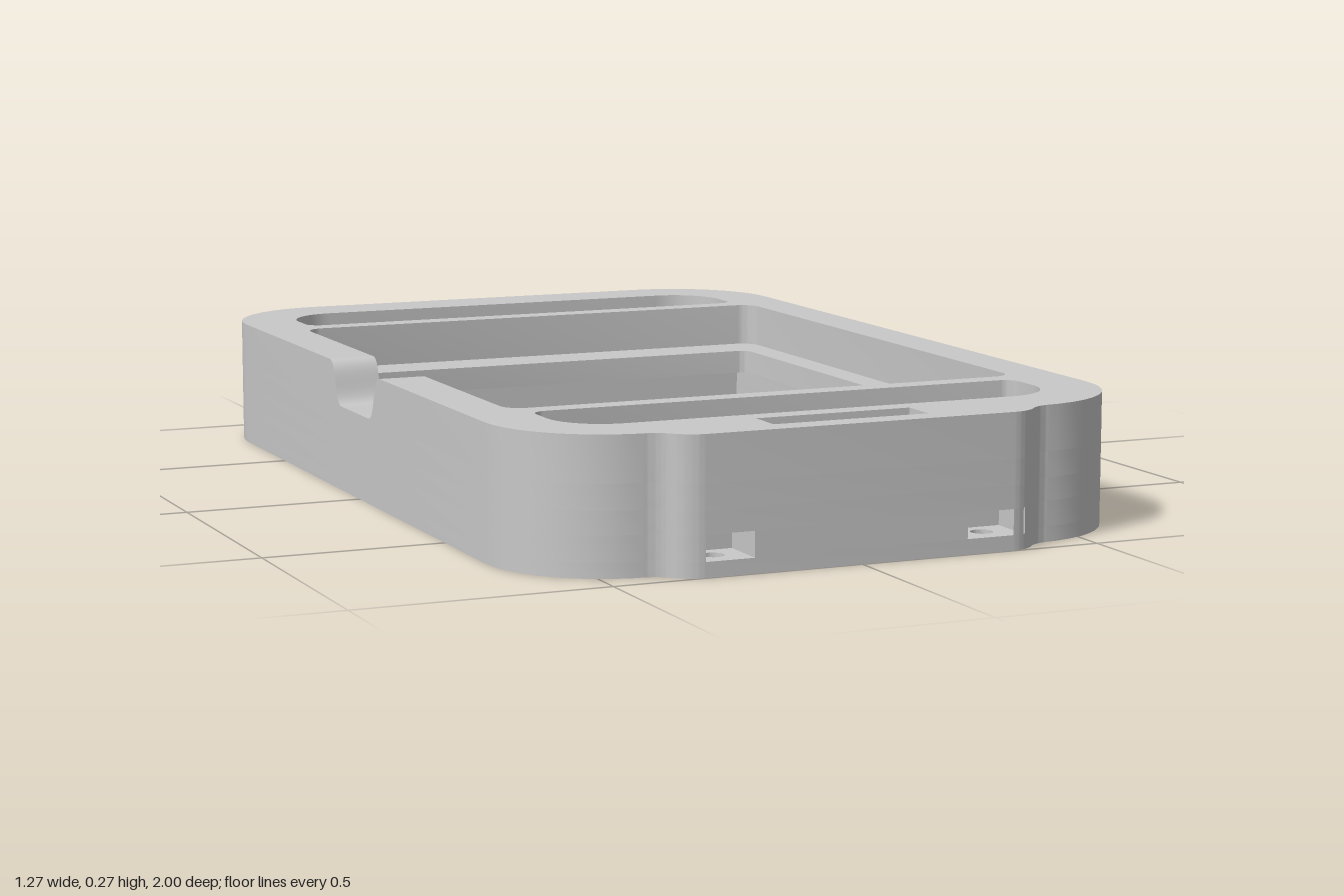
import * as THREE from 'three';
import { toCreasedNormals } from 'three/addons/utils/BufferGeometryUtils.js';

const grey = new THREE.MeshStandardMaterial({ color: 0xc8c8c8 });
grey.name = 'grey plastic';

// Closed plan path from corners [x, z, radius]
function trace(path, corners) {
  const n = corners.length;
  const k = 0.5523;
  corners.forEach(([x, z, r = 0], i) => {
    const c = new THREE.Vector2(x, -z);
    const [px, pz] = corners[(i + n - 1) % n];
    const [nx, nz] = corners[(i + 1) % n];
    const a = new THREE.Vector2(px, -pz).sub(c).setLength(r).add(c);
    const b = new THREE.Vector2(nx, -nz).sub(c).setLength(r).add(c);
    if (i === 0) path.moveTo(a.x, a.y);
    else path.lineTo(a.x, a.y);
    if (r > 0) {
      const h1 = a.clone().lerp(c, k), h2 = b.clone().lerp(c, k);
      path.bezierCurveTo(h1.x, h1.y, h2.x, h2.y, b.x, b.y);
    }
  });
  path.closePath();
  return path;
}
// Outlines run counter-clockwise and holes clockwise
const outline = (corners) => trace(new THREE.Shape(), [...corners].reverse());
const hole = (corners) => trace(new THREE.Path(), corners);

// Rectangle with separate radii for its back and front corners
const rect = (w, z0, z1, rBack, rFront = rBack, cx = 0) => [
  [cx - w, z0, rBack], [cx + w, z0, rBack], [cx + w, z1, rFront], [cx - w, z1, rFront],
];
const mirror = (list) => list.map(([x, z, r]) => [-x, z, r]).reverse();

function createModel() {
  const model = new THREE.Group();

  function add(name, geometry) {
    const mesh = new THREE.Mesh(toCreasedNormals(geometry, 0.6), grey);
    mesh.name = name;
    model.add(mesh);
  }
  // Horizontal slab between two heights
  function slab(name, corners, holes, y0, y1) {
    const shape = outline(corners);
    shape.holes.push(...holes);
    const g = new THREE.ExtrudeGeometry(shape, { depth: y1 - y0, bevelEnabled: false, curveSegments: 10 });
    g.rotateX(-Math.PI / 2);
    g.translate(0, y0, 0);
    add(name, g);
  }
  // S-shaped slope: flat top, then a smooth fall to the floor
  function slope(name, flat, run, height, width, turn, x, y, z) {
    const s = new THREE.Shape();
    s.moveTo(0, 0);
    s.lineTo(flat + run, 0);
    s.bezierCurveTo(flat + run * 0.4, 0, flat + run * 0.6, height, flat, height);
    s.lineTo(0, height);
    s.closePath();
    const g = new THREE.ExtrudeGeometry(s, { depth: width, bevelEnabled: false, curveSegments: 12 });
    g.translate(0, 0, -width / 2);
    g.rotateY(turn);
    g.translate(x, y, z);
    add(name, g);
  }

  // Outer edge with the front bump
  const W = 0.637, R = 0.235;
  const bump = [[0.393, 0.95, 0.025], [0.348, 1, 0.03]];
  const body = (front = []) => [
    [-W, -1, R], [W, -1, R], [W, 0.95, R],
    ...bump, ...front, ...mirror(bump), [-W, 0.95, R],
  ];
  const cavity = rect(0.515, -0.877, 0.83, 0.115);

  // Bottom rim with a seal groove and two screw holes
  const screws = [-0.28, 0.28].map((x) => new THREE.Path().absarc(x, -0.945, 0.022, 0, Math.PI * 2, true));
  slab('bottomRim', body(), [hole(rect(0.575, -0.94, 0.89, 0.175)), ...screws], 0, 0.03);
  slab('innerRim', rect(0.545, -0.91, 0.86, 0.145), [hole(cavity)], 0, 0.03);

  // Lower wall with two nut slots open to the front
  const nutSlot = [[0.342, 1], [0.342, 0.9], [0.22, 0.9], [0.22, 1]];
  slab('lowerWall', body([...nutSlot, ...mirror(nutSlot)]), [hole(cavity)], 0.03, 0.08);

  // Middle wall with shallow recesses inside both ends
  const backRecess = [[-0.12, -0.877], [-0.09, -0.907], [0.09, -0.907], [0.12, -0.877]];
  const frontRecess = [[0.12, 0.83], [0.09, 0.86], [-0.09, 0.86], [-0.12, 0.83]];
  const [bl, br, fr, fl] = cavity;
  slab('middleWall', body(), [hole([bl, ...backRecess, br, fr, ...frontRecess, fl])], 0.08, 0.125);

  // Ledge around the window, with the end slots
  const backSlot = rect(0.515, -0.877, -0.687, 0.11, 0.03);
  const frontSlot = rect(0.515, 0.637, 0.83, 0.03, 0.11);
  const backCut = [backSlot[0], ...backRecess, ...backSlot.slice(1)];
  const frontCut = [...frontSlot.slice(0, 3), ...frontRecess, frontSlot[3]];
  const window = rect(0.48, -0.527, 0.478, 0.025);
  slab('windowLedge', body(), [hole(backCut), hole(frontCut), hole(window)], 0.125, 0.175);

  // Top frame, open on the right side where the notch joins the recess
  const [zA, zB] = [-0.18, 0.13];
  const topFrame = [
    ...body(),
    [-W, zB], [-0.542, zB], [-0.542, 0.59, 0.04], [0.542, 0.59, 0.04],
    [0.542, -0.638, 0.04], [-0.542, -0.638, 0.04], [-0.542, zA], [-W, zA],
  ];
  const pocket = rect(0.16, 0.875, 0.95, 0);
  slab('topFrame', topFrame, [backSlot, frontSlot, pocket].map(hole), 0.175, 0.265);

  // Sloping ends of the front pocket and of the side notch
  slope('pocketEnd', 0.03, 0.04, 0.06, 0.075, 0, -0.16, 0.175, 0.9125);
  slope('pocketEnd', 0.03, 0.04, 0.06, 0.075, Math.PI, 0.16, 0.175, 0.9125);
  slope('notchRamp', 0, 0.07, 0.09, W - 0.542, -Math.PI / 2, -(W + 0.542) / 2, 0.175, zA);
  slope('notchRamp', 0, 0.07, 0.09, W - 0.542, Math.PI / 2, -(W + 0.542) / 2, 0.175, zB);

  // Hanging cross bars with slots in their undersides
  for (const [name, z0, z1] of [['backBar', -0.687, -0.56], ['frontBar', 0.51, 0.637]]) {
    const mid = (z0 + z1) / 2;
    const slots = [[-0.4, 0.03], [-0.17, 0.1], [0.17, 0.1], [0.4, 0.03]]
      .map(([x, w]) => hole(rect(w, mid - 0.022, mid + 0.022, 0, 0, x)));
    slab(name, rect(0.47, z0, z1, 0), slots, 0.04, 0.125);
  }
  return model;
}

export { createModel };
